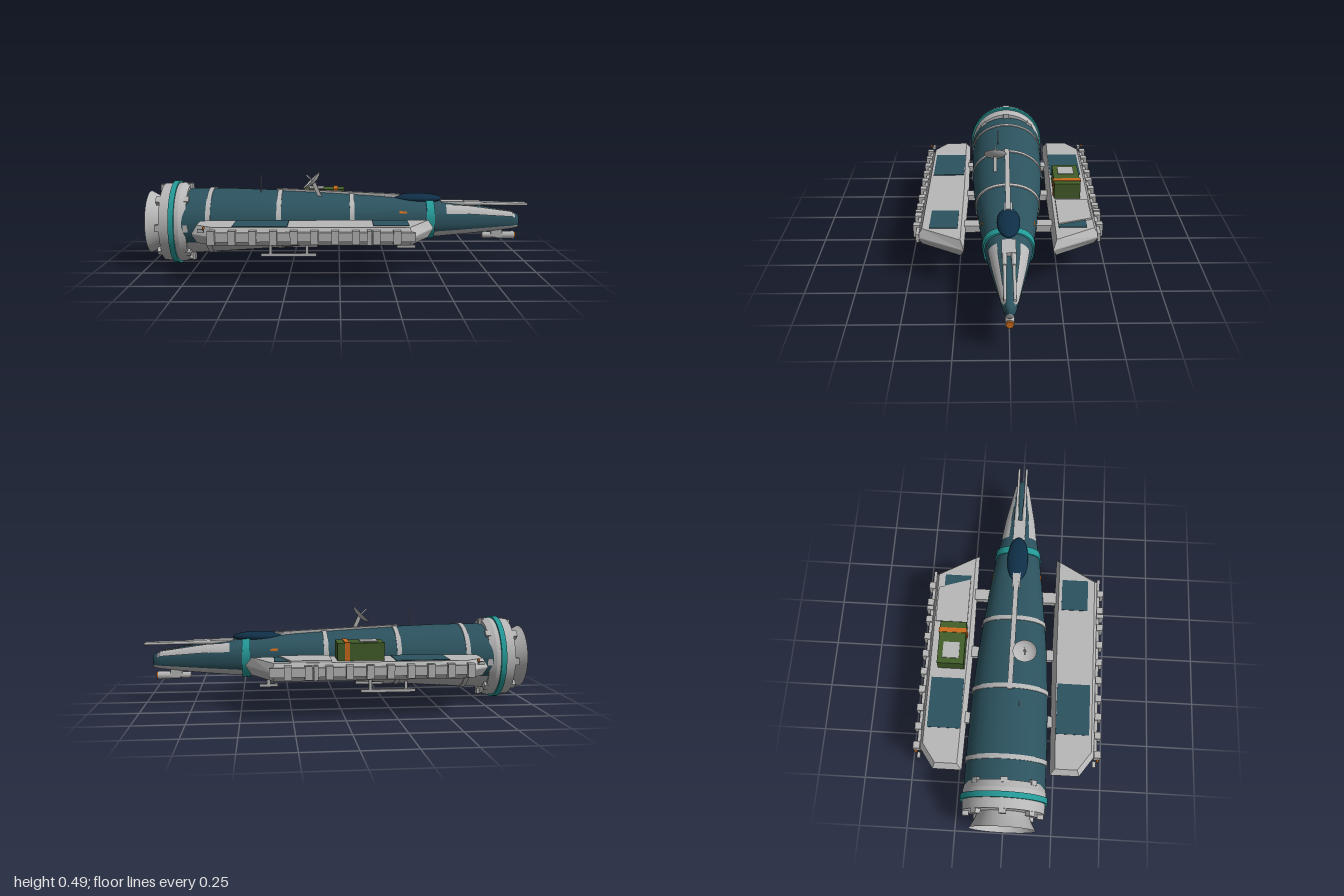
import * as THREE from 'three';
import { toCreasedNormals } from 'three/addons/utils/BufferGeometryUtils.js';

const paint = (name, color, side = THREE.FrontSide) =>
  Object.assign(new THREE.MeshStandardMaterial({ color, side }), { name });

// Hull stations: x, top y, bottom y, half width
const STATIONS = [
  [-0.82, 0.405, 0.058, 0.205], [-0.55, 0.402, 0.074, 0.203], [-0.3, 0.393, 0.09, 0.195],
  [-0.1, 0.383, 0.105, 0.182], [0.065, 0.373, 0.117, 0.166], [0.3, 0.357, 0.134, 0.14],
  [0.48, 0.34, 0.145, 0.117], [0.65, 0.322, 0.158, 0.085], [0.8, 0.3, 0.172, 0.056],
  [0.92, 0.277, 0.185, 0.032], [0.955, 0.262, 0.193, 0.02], [0.962, 0.228, 0.226, 0.001],
];

function hullPoint(x, a, off) {
  let i = 0;
  while (i < STATIONS.length - 2 && x > STATIONS[i + 1][0]) i++;
  const A = STATIONS[i], B = STATIONS[i + 1];
  const t = (x - A[0]) / (B[0] - A[0]);
  const [top, bot, hw] = [1, 2, 3].map(k => A[k] + (B[k] - A[k]) * t);
  const p = 2 / (2 + 0.4 * THREE.MathUtils.smoothstep(x, -0.3, 0.48));
  const pw = v => Math.sign(v) * Math.abs(v) ** p;
  return [x, (top + bot) / 2 + ((top - bot) / 2 + off) * pw(Math.sin(a)), (hw + off) * pw(Math.cos(a))];
}

// Skin between two angles (0 = +z, 90 = up), rows given as [x, offset]
function hullSkin(rows, deg0, deg1, segs) {
  const pos = [], idx = [], n = segs + 1;
  rows.forEach(([x, off], i) => {
    for (let j = 0; j <= segs; j++) {
      pos.push(...hullPoint(x, THREE.MathUtils.degToRad(deg0 + (deg1 - deg0) * j / segs), off));
      if (i && j) {
        const d = i * n + j, c = d - 1, b = d - n, a = b - 1;
        idx.push(a, c, d, a, d, b);
      }
    }
  });
  const g = new THREE.BufferGeometry();
  g.setAttribute('position', new THREE.Float32BufferAttribute(pos, 3));
  g.setIndex(idx);
  g.computeVertexNormals();
  return g;
}

export function createModel() {
  const model = new THREE.Group();
  model.name = 'spaceship';
  const grey = paint('light grey', 0xb8b8b8, THREE.DoubleSide);
  const dark = paint('dark grey', 0x6c6e70);
  const teal = paint('hull teal', 0x2c535f);
  const bright = paint('trim teal', 0x249a98);
  const navy = paint('canopy navy', 0x0f2f47);
  const orange = paint('orange', 0xcc6a1c);
  const green = paint('crate green', 0x435e2a);
  const blue = paint('engine blue', 0x3b7690);

  const add = (name, geo, mat, x = 0, y = 0, z = 0) => {
    const m = new THREE.Mesh(geo, mat);
    m.name = name;
    m.position.set(x, y, z);
    model.add(m);
    return m;
  };
  const box = (name, mat, w, h, d, x, y, z) => add(name, new THREE.BoxGeometry(w, h, d), mat, x, y, z);
  // Cylinder along x from x0 to x1
  const tube = (name, mat, x0, x1, r0, r1, y, z, segs = 16) =>
    add(name, new THREE.CylinderGeometry(r1, r0, x1 - x0, segs).rotateZ(-Math.PI / 2), mat, (x0 + x1) / 2, y, z);
  // Square bar between two points
  const bar = (name, mat, a, b, h, d) => {
    const A = new THREE.Vector3(...a), B = new THREE.Vector3(...b);
    const m = box(name, mat, A.distanceTo(B), h, d, 0, 0, 0);
    m.position.copy(A).add(B).multiplyScalar(0.5);
    m.quaternion.setFromUnitVectors(new THREE.Vector3(1, 0, 0), B.sub(A).normalize());
    return m;
  };

  // Hull: teal upper shell, grey belly, raised bands
  const rows = STATIONS.map(s => [s[0], 0]);
  add('upperHull', hullSkin(rows, -30, 210, 48), teal);
  add('belly', hullSkin(rows, 210, 330, 24), grey);
  const band = (name, mat, x, w, off) => add(name, toCreasedNormals(
    hullSkin([[x - w / 2, 0], [x - w / 2, off], [x + w / 2, off], [x + w / 2, 0]], 0, 360, 64), 0.6), mat);
  for (const x of [-0.67, -0.31, 0.065]) band('hullBand', grey, x, 0.024, 0.005);
  band('neckRing', bright, 0.475, 0.042, 0.007);

  // Rear collar and engine
  const cy = 0.225;
  tube('rearCollar', grey, -0.92, -0.82, 0.205, 0.21, cy, 0, 64);
  tube('collarLip', grey, -0.82, -0.785, 0.21, 0.2, cy, 0, 64);
  tube('collarRing', bright, -0.87, -0.842, 0.219, 0.219, cy, 0, 64);
  const bell = [[0.165, -1], [0.143, -0.96], [0.125, -0.915]].map(p => new THREE.Vector2(...p));
  add('engineBell', new THREE.LatheGeometry(bell, 48).rotateZ(-Math.PI / 2), grey, 0, cy, 0);
  tube('engineCore', blue, -0.935, -0.915, 0.085, 0.085, cy, 0, 32);
  tube('engineHub', grey, -0.955, -0.93, 0.025, 0.03, cy, 0, 24);
  for (let i = 0; i < 8; i++) {
    const a = i * Math.PI / 4, c = Math.cos(a), s = Math.sin(a);
    for (const [x, r] of [[-0.93, 0.185], [-0.785, 0.19]])
      box('collarClamp', grey, 0.025, 0.032, 0.036, x, cy + r * c, r * s).rotation.x = a;
    if (i % 2) tube('engineVane', dark, -0.955, -0.92, 0.012, 0.022, cy + 0.107 * c, 0.107 * s, 3);
  }

  // Side pods
  const outline = [[-0.72, 0.222], [-0.1, 0.21], [0.475, 0.215], [0.35, 0.45], [-0.61, 0.45], [-0.72, 0.37]];
  for (const s of [1, -1]) {
    const shape = new THREE.Shape(outline.map(([x, z]) => new THREE.Vector2(x, z * s)));
    add('sidePod', new THREE.ExtrudeGeometry(shape, {
      depth: 0.006, bevelThickness: 0.041, bevelSize: 0.024, bevelOffset: -0.024, bevelSegments: 1,
    }).rotateX(Math.PI / 2), grey, 0, 0.233, 0);
    box('podPanelRear', teal, 0.265, 0.006, 0.17, -0.385, 0.2745, s * 0.328);
    if (s > 0) box('podPanelFront', teal, 0.175, 0.006, 0.14, 0.25, 0.2745, 0.32);
    box('podRail', grey, 0.98, 0.045, 0.016, -0.13, 0.232, s * 0.448);
    for (let i = 0; i < 10; i++)
      box('railBlock', grey, 0.036, 0.066, 0.034, -0.61 + i * 0.098, 0.232, s * 0.458);
    box('railCleat', grey, 0.022, 0.07, 0.036, 0.14, 0.232, s * 0.459);
    box('podPylon', grey, 0.062, 0.037, 0.12, 0.24, 0.231, s * 0.175);
    for (const x of [-0.45, -0.09]) box('podStrut', grey, 0.058, 0.032, 0.08, x, 0.23, s * 0.2);
    // Rear lamp
    box('lampBase', grey, 0.03, 0.016, 0.016, -0.662, 0.262, s * 0.44);
    tube('lampPost', dark, -0.654, -0.648, 0.003, 0.003, 0.268, s * 0.452, 8);
    add('lamp', new THREE.SphereGeometry(0.007, 10, 8), orange, -0.645, 0.278, s * 0.456);

    // Nose shoulder plate, barrels, hull marker
    add('shoulderPlate', toCreasedNormals(
      hullSkin([[0.56, 0.002], [0.68, 0.008], [0.92, 0.009], [0.935, 0]], s > 0 ? 22 : 118, s > 0 ? 62 : 158, 8), 0.5), grey);
    tube('gunBarrel', grey, 0.62, 0.999, 0.009, 0.007, 0.322, s * 0.021, 12).rotation.z = -0.015;
    tube('gunSleeve', grey, 0.62, 0.75, 0.013, 0.011, 0.325, s * 0.021, 12);
    add('hullMarker', hullSkin([[0.31, 0.003], [0.35, 0.003]], s > 0 ? 20 : 154, s > 0 ? 26 : 160, 3), orange);

    // Belly skid
    box('bellySkid', grey, 0.29, 0.016, 0.016, -0.265, 0.068, s * 0.115);
    for (const x of [-0.36, -0.17]) box('skidStrut', grey, 0.016, 0.06, 0.01, x, 0.1, s * 0.115);
  }

  // Cover plate and its dark front panel on the right pod
  const plate = new THREE.Shape([[0.06, -0.42], [0.255, -0.42], [0.31, -0.25], [0.06, -0.25]].map(p => new THREE.Vector2(...p)));
  add('coverPlate', new THREE.ExtrudeGeometry(plate, { depth: 0.012, bevelEnabled: false }).rotateX(Math.PI / 2), grey, 0, 0.284, 0);
  box('podPanelFront', teal, 0.08, 0.006, 0.14, 0.295, 0.2745, -0.32);

  // Cargo crate
  box('cargoCrate', green, 0.23, 0.088, 0.138, -0.085, 0.316, -0.315);
  box('crateStrap', orange, 0.025, 0.093, 0.146, -0.018, 0.317, -0.315);
  box('cratePad', grey, 0.085, 0.006, 0.085, -0.128, 0.362, -0.315);

  // Spine, canopy and gun mount
  bar('spine', grey, [-0.33, 0.393, 0], [0.32, 0.362, 0], 0.022, 0.026);
  box('spineBlock', grey, 0.12, 0.022, 0.042, 0.3, 0.358, 0);
  add('canopy', new THREE.SphereGeometry(1, 32, 20).scale(0.135, 0.027, 0.056), navy, 0.41, 0.35, 0);
  box('gunMount', grey, 0.12, 0.03, 0.066, 0.6, 0.322, 0);

  // Chin lamp
  box('chinMount', grey, 0.06, 0.045, 0.045, 0.84, 0.165, 0);
  tube('chinBarrel', grey, 0.765, 0.935, 0.016, 0.022, 0.15, 0, 20);
  tube('chinLens', orange, 0.93, 0.943, 0.019, 0.017, 0.15, 0, 20);

  // Front belly sensor
  box('bellySensor', grey, 0.1, 0.015, 0.018, 0.36, 0.086, 0);
  box('sensorStrut', grey, 0.02, 0.06, 0.01, 0.36, 0.115, 0);

  // Dish: rim faces up and back
  const dishProfile = [[0.001, -0.014], [0.03, -0.01], [0.05, -0.002], [0.061, 0.008]].map(p => new THREE.Vector2(...p));
  add('dish', new THREE.LatheGeometry(dishProfile, 32), grey, -0.14, 0.45, 0.065).rotation.z = Math.PI / 4;
  bar('dishFeed', grey, [-0.13, 0.441, 0.065], [-0.172, 0.483, 0.065], 0.007, 0.007);
  bar('dishMast', grey, [-0.1, 0.365, 0.065], [-0.135, 0.445, 0.065], 0.02, 0.02);

  // Whip antenna
  add('antenna', new THREE.CylinderGeometry(0.002, 0.003, 0.1, 8), grey, -0.41, 0.43, 0.05);
  return model;
}
